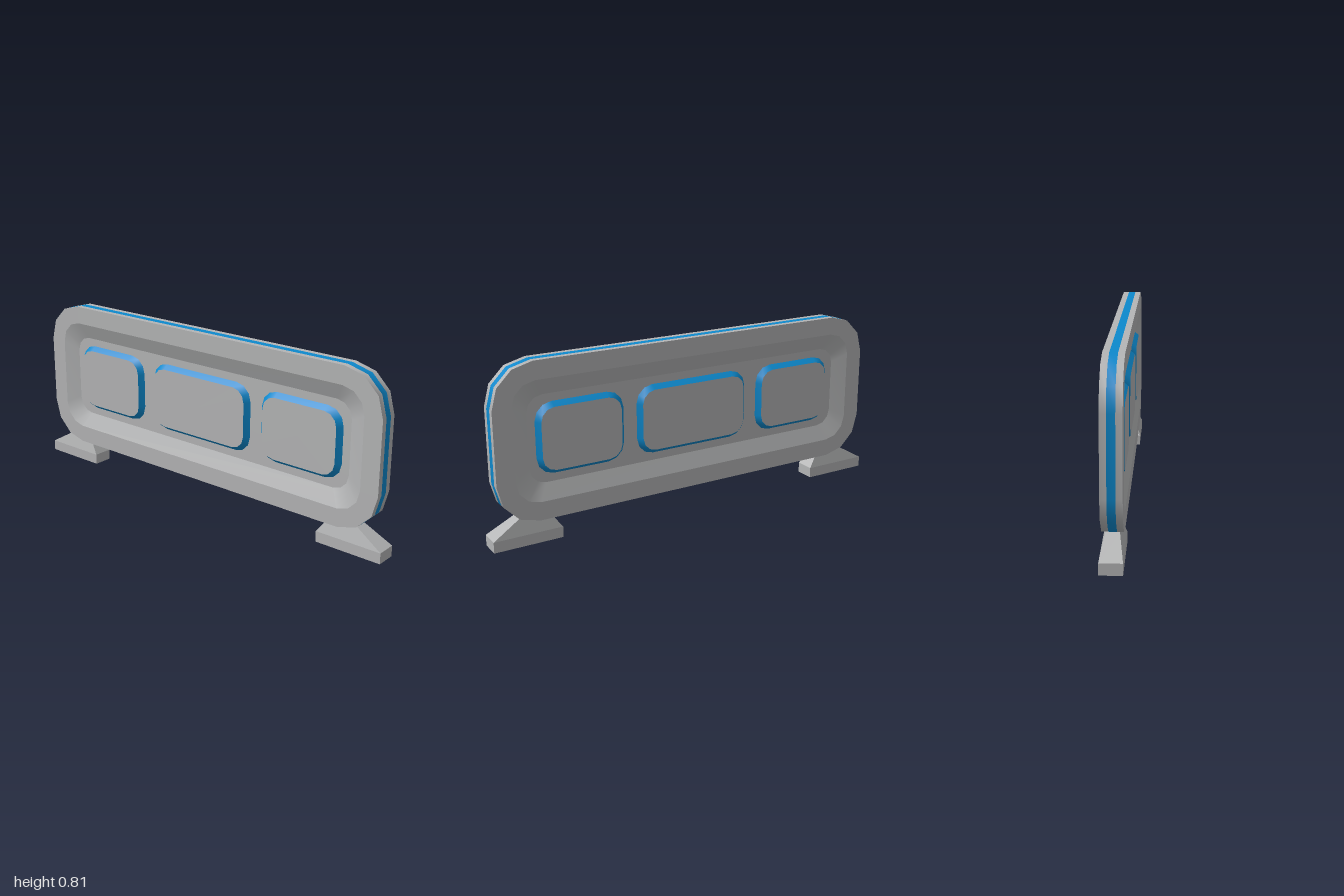
import * as THREE from 'three';

const CY = 0.457;          // height of the panel's centre
const STEPS = 3;           // segments per rounded corner
const N = 4 * (STEPS + 1); // points per outline

// Rounded rectangle outline, counter-clockwise seen from +z
function outline(cx, cy, hw, hh, r, z) {
  const pts = [];
  for (let c = 0; c < 4; c++) {
    const sx = c === 0 || c === 3 ? 1 : -1;
    const sy = c < 2 ? 1 : -1;
    for (let k = 0; k <= STEPS; k++) {
      const a = (c + k / STEPS) * Math.PI / 2;
      pts.push([cx + sx * (hw - r) + r * Math.cos(a), cy + sy * (hh - r) + r * Math.sin(a), z]);
    }
  }
  return pts;
}

function geometry(points, index) {
  const g = new THREE.BufferGeometry();
  g.setAttribute('position', new THREE.Float32BufferAttribute(points.flat(), 3));
  g.setIndex(index);
  g.computeVertexNormals();
  return g;
}

// Band of quads from outline a to outline b, over a run of segments
function band(a, b, start = 0, count = N) {
  const index = [];
  for (let s = start; s < start + count; s++) {
    const i = s % N, j = (s + 1) % N;
    index.push(i, j, N + j, i, N + j, N + i);
  }
  return geometry([...a, ...b], index);
}

// Flat fill of an outline
function cap(a, cx, cy) {
  const index = [];
  for (let i = 0; i < N; i++) index.push(N, i, (i + 1) % N);
  return geometry([...a, [cx, cy, a[0][2]]], index);
}

export function createModel() {
  const grey = new THREE.MeshStandardMaterial({ color: 0xb4b5b6 });
  grey.name = 'light grey';
  const blue = new THREE.MeshStandardMaterial({ color: 0x0d89cd });
  blue.name = 'blue';

  const model = new THREE.Group();
  model.name = 'barrier';
  const add = (parent, name, geo, mat) => {
    const m = new THREE.Mesh(geo, mat);
    m.name = name;
    parent.add(m);
    return m;
  };

  // One face of the panel: edge, rim, sloped recess, floor and raised plates
  const body = z => outline(0, CY, 0.97, 0.356, 0.19, z);
  const rimInner = outline(0, CY, 0.885, 0.272, 0.11, 0.044);
  const floor = outline(0, CY, 0.81, 0.198, 0.075, 0.014);
  const face = new THREE.Group();
  face.name = 'frontFace';
  add(face, 'outerEdge', band(body(0.017), body(0.044)), grey);
  add(face, 'rim', band(body(0.044), rimInner), grey);
  add(face, 'recessWall', band(rimInner, floor), grey);
  add(face, 'recessFloor', cap(floor, 0, CY), grey);
  for (const [name, cx, hw] of [['right', -0.565, 0.21], ['middle', 0, 0.289], ['left', 0.563, 0.21]]) {
    const base = outline(cx, CY, hw, 0.162, 0.08, 0.014);
    const top = outline(cx, CY, hw - 0.02, 0.142, 0.063, 0.039);
    add(face, name + 'PlateBevel', band(base, top), blue);
    add(face, name + 'Plate', cap(top, cx, CY), grey);
  }
  model.add(face);

  // The back repeats the front
  const back = face.clone();
  back.name = 'backFace';
  back.rotation.y = Math.PI;
  model.add(back);

  // Stripe over sides and top, plain along the bottom
  add(model, 'edgeStripe', band(body(-0.017), body(0.017), 13, 13), blue);
  add(model, 'bottomEdge', band(body(-0.017), body(0.017), 10, 3), grey);

  // Feet: a low block with a tapered top
  for (const side of [-1, 1]) {
    const foot = new THREE.Group();
    foot.name = side < 0 ? 'rightFoot' : 'leftFoot';
    add(foot, 'footBase', new THREE.BoxGeometry(0.32, 0.05, 0.094), grey)
      .position.set(side * 0.84, 0.025, 0);
    const taper = new THREE.BoxGeometry(0.32, 0.075, 0.094).toNonIndexed();
    taper.translate(side * 0.84, 0.0875, 0);
    const p = taper.attributes.position;
    for (let i = 0; i < p.count; i++) {
      if (p.getY(i) < 0.1) continue;
      p.setX(i, side * (Math.abs(p.getX(i)) > 0.84 ? 0.87 : 0.735));
      p.setZ(i, Math.sign(p.getZ(i)) * 0.028);
    }
    taper.computeVertexNormals();
    add(foot, 'footTaper', taper, grey);
    model.add(foot);
  }
  return model;
}
